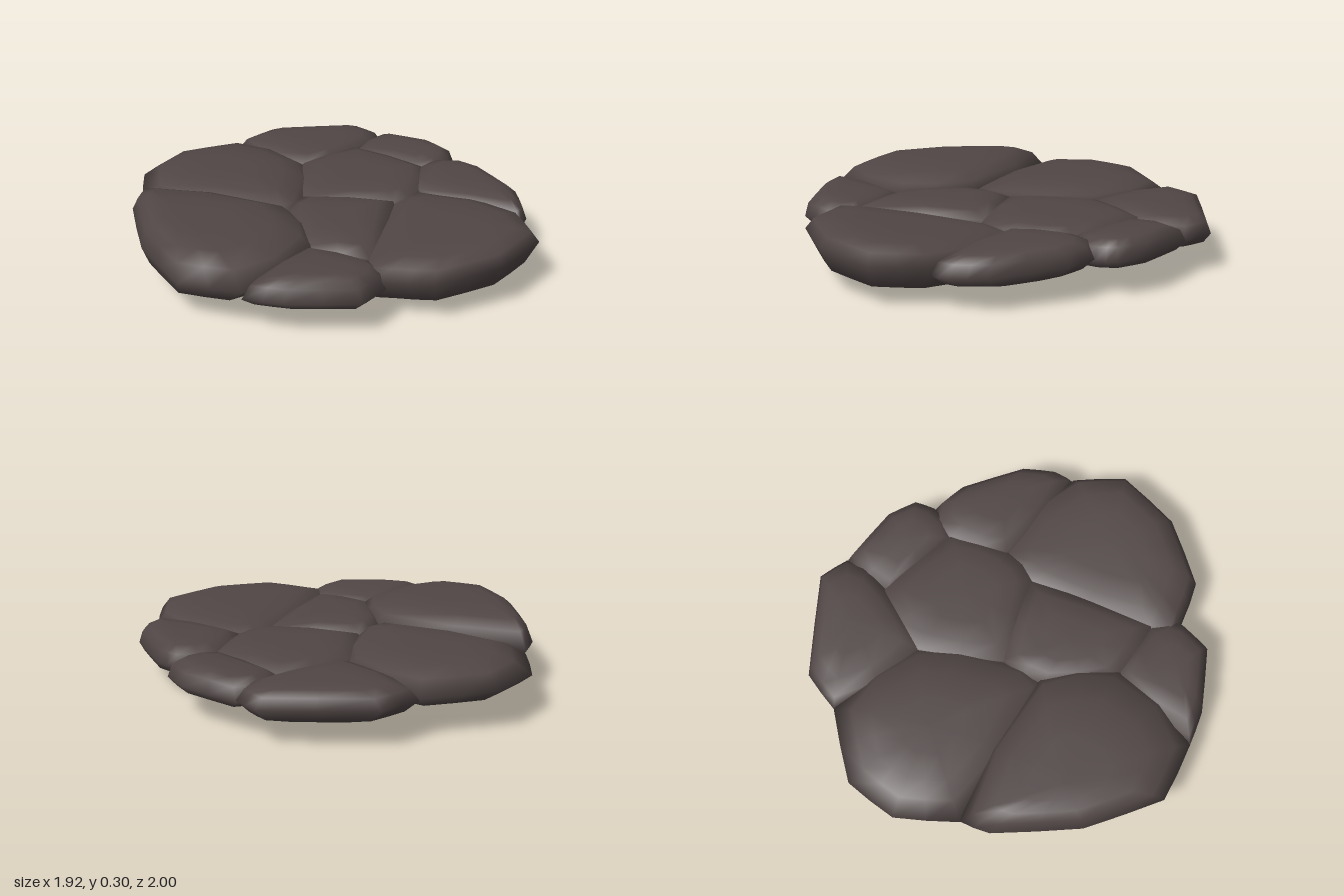
import * as THREE from 'three';

const stoneMat = new THREE.MeshStandardMaterial({ color: 0x504645 });
stoneMat.name = 'dark stone';

// Corners [x, z] around the edge of the patch, and the joints inside where stones meet
const RIM = [
  [-0.08, -1], [-0.33, -0.92], [-0.52, -0.68], [-0.64, -0.6], [-0.86, -0.24], [-0.96, 0.14], [-0.82, 0.39],
  [-0.72, 0.54], [-0.48, 0.755], [-0.31, 0.73], [-0.19, 0.9], [0.14, 1], [0.46, 0.95], [0.6, 0.74], [0.68, 0.71],
  [0.79, 0.58], [0.88, 0.24], [0.86, 0.09], [0.94, 0.03], [0.96, -0.13], [0.87, -0.42], [0.87, -0.57],
  [0.47, -0.88], [0.26, -0.87],
];
const JOINTS = [
  [-0.36, 0.3], [-0.2, 0], [0, -0.09], [0.28, -0.39], [0.61, -0.36], [0.67, 0.06], [0.45, 0.23], [0.26, 0.24], [-0.25, 0.58],
];

// Each stone runs along part of the rim, then back through joints; y = [bottom, rim, top].
// tilt slopes the stone in x and z, lean moves its top and foot sideways.
const STONES = [
  { name: 'leftStone', from: 2, to: 6, joints: [0, 1], y: [0.045, 0.19, 0.305], taper: 0.03, lean: [-0.04, -0.12] },
  { name: 'backStone', from: 23, to: 26, joints: [1, 2, 3], y: [0.06, 0.175, 0.268], taper: 0.1 },
  { name: 'backRightStone', from: 20, to: 23, joints: [3, 4], y: [0.085, 0.17, 0.248] },
  { name: 'rightStone', from: 17, to: 20, joints: [4, 5], y: [0.1, 0.155, 0.25], tilt: [0.08, 0], lean: [-0.05, 0] },
  { name: 'middleRightStone', joints: [2, 7, 6, 5, 4, 3], y: [0.07, 0.17, 0.25] },
  { name: 'frontRightStone', from: 13, to: 17, joints: [5, 6], y: [0.095, 0.16, 0.25], tilt: [0, -0.03] },
  { name: 'middleFrontStone', joints: [2, 1, 0, 8, 7], y: [0.06, 0.16, 0.255] },
  { name: 'frontStone', from: 9, to: 13, joints: [6, 7, 8], y: [0.006, 0.175, 0.257], foot: 0.2, tilt: [0, 0.05], lean: [0.04, 0] },
  { name: 'frontLeftStone', from: 6, to: 9, joints: [8, 0], y: [0.1, 0.15, 0.25], tilt: [-0.03, 0] },
];

// Outline about its own centre; inner corners and edges bulge into the neighbours
function stoneOutline({ from = 0, to = -1, joints }) {
  const corners = [];
  for (let i = from; i <= to; i++) corners.push({ p: RIM[i % RIM.length], inner: false });
  for (const j of joints) corners.push({ p: JOINTS[j], inner: true });
  const centre = [0, 1].map((k) => corners.reduce((sum, { p }) => sum + p[k], 0) / corners.length);
  const points = [];
  corners.forEach(({ p, inner }, i) => {
    const next = corners[(i + 1) % corners.length];
    const grow = inner ? 1.12 : 1, bulge = inner || next.inner ? 1.2 : 1.01;
    points.push(p.map((v, k) => (v - centre[k]) * grow));
    points.push(p.map((v, k) => ((v + next.p[k]) / 2 - centre[k]) * bulge));
  });
  return { centre, points };
}

// Closed pebble: rings of the outline scaled about the centre, capped by fans
function stoneGeometry(stone) {
  const { y: [low, rim, high], taper = 0, foot = 0.45, tilt = [0, 0], lean = [0, 0] } = stone;
  const { centre: [cx, cz], points } = stoneOutline(stone);
  const mix = THREE.MathUtils.lerp;
  const rings = [
    [foot, low], [0.85 - taper, mix(low, rim, 0.4)], [1, rim],
    [0.9 - taper, mix(rim, high, 0.62)], [0.7 - taper, mix(rim, high, 0.91)], [0.42 - taper, high],
  ];
  const n = points.length, pos = [], index = [];
  const addPoint = (s, h, [x, z]) => {
    const dx = x * s + lean[0] * (1 - s), dz = z * s + lean[1] * (1 - s);
    pos.push(cx + dx, h + tilt[0] * dx + tilt[1] * dz, cz + dz);
  };
  for (const [s, h] of rings) for (const p of points) addPoint(s, h, p);
  const bottom = rings.length * n, top = bottom + 1, last = bottom - n;
  addPoint(0, low, [0, 0]);
  addPoint(0, high, [0, 0]);
  for (let i = 0; i < n; i++) {
    const j = (i + 1) % n;
    for (let r = 0; r < last; r += n) index.push(r + i, r + j, r + n + j, r + i, r + n + j, r + n + i);
    index.push(bottom, j, i, top, last + i, last + j);
  }
  const g = new THREE.BufferGeometry();
  g.setAttribute('position', new THREE.Float32BufferAttribute(pos, 3));
  g.setIndex(index);
  g.computeVertexNormals();
  return g;
}

export function createModel() {
  const group = new THREE.Group();
  group.name = 'stonePatch';
  for (const stone of STONES) {
    const mesh = new THREE.Mesh(stoneGeometry(stone), stoneMat);
    mesh.name = stone.name;
    group.add(mesh);
  }
  return group;
}
